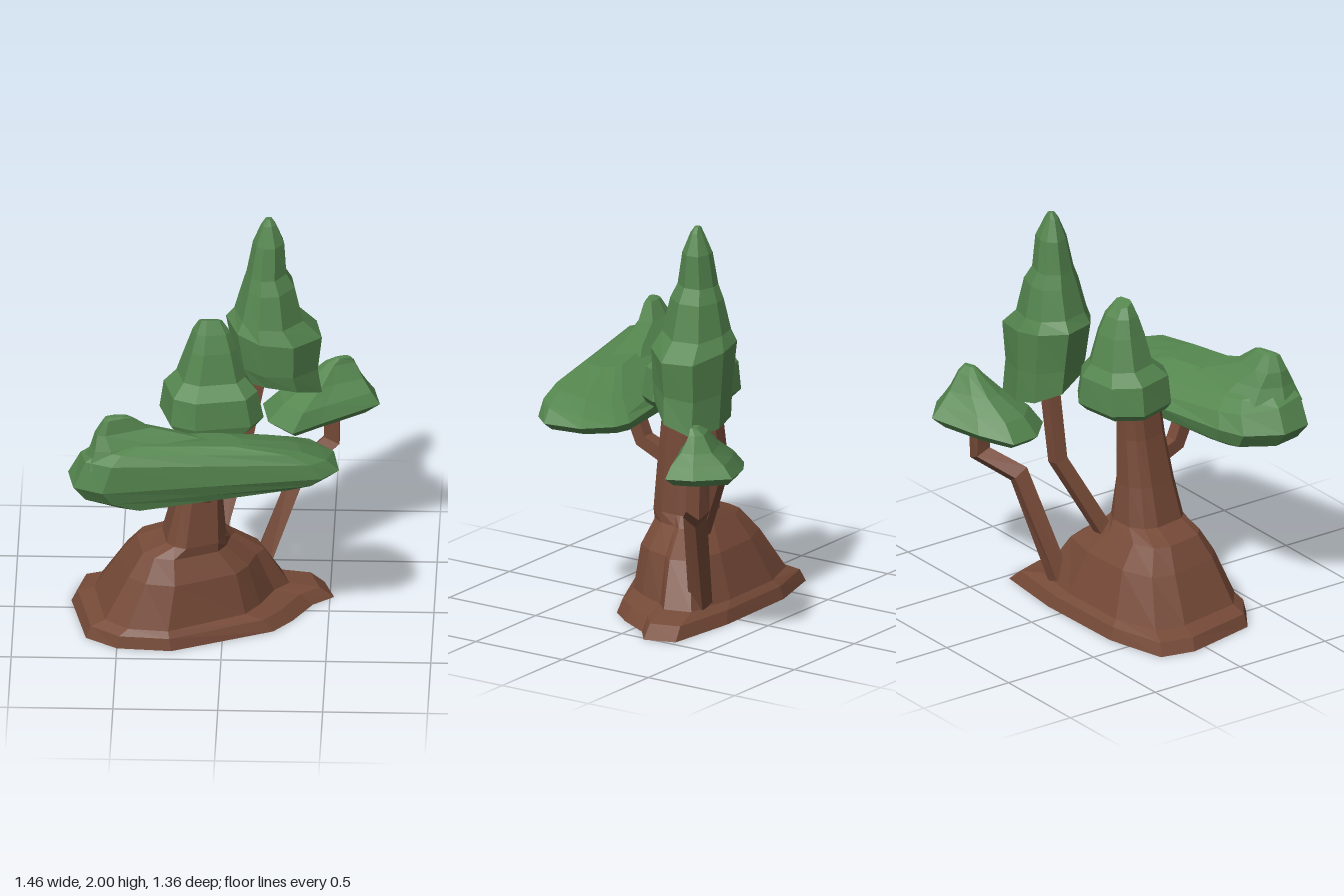
import * as THREE from 'three';

const bark = new THREE.MeshStandardMaterial({ color: 0x764a38, flatShading: true });
bark.name = 'bark brown';
const leaf = new THREE.MeshStandardMaterial({ color: 0x55864f, flatShading: true });
leaf.name = 'leaf green';

// Skin a closed solid over rings of points, capped at both ends
function skin(rings) {
  const pos = [];
  const tri = (a, b, c) => pos.push(...a.toArray(), ...b.toArray(), ...c.toArray());
  const n = rings[0].length;
  for (let i = 0; i < rings.length - 1; i++) {
    for (let j = 0; j < n; j++) {
      const k = (j + 1) % n;
      const [a, b, c, d] = [rings[i][j], rings[i][k], rings[i + 1][k], rings[i + 1][j]];
      tri(a, c, b);
      tri(a, d, c);
    }
  }
  const centre = (r) => r.reduce((s, p) => s.add(p), new THREE.Vector3()).divideScalar(n);
  const low = rings[0], high = rings[rings.length - 1];
  const lowC = centre(low), highC = centre(high);
  for (let j = 0; j < n; j++) {
    const k = (j + 1) % n;
    tri(lowC, low[j], low[k]);
    tri(highC, high[k], high[j]);
  }
  const g = new THREE.BufferGeometry();
  g.setAttribute('position', new THREE.Float32BufferAttribute(pos, 3));
  g.computeVertexNormals();
  return g;
}

// Fit an outline into each level: [y, x0, x1, z0, z1, roundness, slope in x, slope in z]
function layers(outline, levels) {
  const xs = outline.map((p) => p[0]), zs = outline.map((p) => p[1]);
  const fit = (v, list) => {
    const lo = Math.min(...list), hi = Math.max(...list);
    return (2 * v - lo - hi) / (hi - lo);
  };
  const unit = outline.map(([x, z]) => [fit(x, xs), fit(z, zs)]);
  return skin(levels.map(([y, x0, x1, z0, z1, round = 0, sx = 0, sz = 0]) =>
    unit.map(([u, v]) => {
      const k = 1 - round + round / Math.hypot(u, v);
      const dx = u * k * (x1 - x0) / 2, dz = v * k * (z1 - z0) / 2;
      return new THREE.Vector3((x0 + x1) / 2 + dx, y + sx * dx + sz * dz, (z0 + z1) / 2 + dz);
    })));
}

// Square limb with mitred bends along a path
function limb(points, r) {
  const pts = points.map((p) => new THREE.Vector3(...p));
  const side = new THREE.Vector3();
  return skin(pts.map((p, i) => {
    const before = p.clone().sub(pts[Math.max(i - 1, 0)]).normalize();
    const after = pts[Math.min(i + 1, pts.length - 1)].clone().sub(p).normalize();
    const dir = before.add(after).normalize();
    side.set(1, 0, 0).addScaledVector(dir, -dir.x).normalize();
    const other = new THREE.Vector3().crossVectors(side, dir);
    return [0, 1, 2, 3].map((j) => {
      const a = Math.PI / 4 + j * Math.PI / 2;
      return p.clone().addScaledVector(side, Math.cos(a) * r * 1.35)
        .addScaledVector(other, Math.sin(a) * r * 1.35);
    });
  }));
}

export function createModel() {
  const group = new THREE.Group();
  const add = (name, geometry, material) => {
    const m = new THREE.Mesh(geometry, material);
    m.name = name;
    group.add(m);
  };

  // Spreading root mound rising into the main trunk
  const foot = [[0.52, -0.14], [0.42, -0.06], [0.33, 0.1], [0.24, 0.21], [-0.24, 0.42], [-0.5, 0.4],
    [-0.65, 0.3], [-0.73, -0.07], [-0.69, -0.24], [-0.39, -0.32], [0.1, -0.33], [0.47, -0.29]];
  add('rootsAndTrunk', layers(foot, [
    [0, -0.73, 0.52, -0.33, 0.42],
    [0.06, -0.7, 0.45, -0.31, 0.41],
    [0.09, -0.62, 0.31, -0.28, 0.39, 0.05],
    [0.3, -0.5, 0.2, -0.2, 0.33, 0.25],
    [0.41, -0.42, 0.06, -0.12, 0.27, 0.4],
    [0.46, -0.3, 0.02, -0.09, 0.25, 0.8],
    [0.65, -0.25, 0, -0.07, 0.22, 1],
    [0.88, -0.2, -0.01, -0.06, 0.19, 1],
    [1.06, -0.18, -0.02, -0.06, 0.17, 1],
  ]), bark);

  // Bent side branches
  add('leftBranch', limb([[0.16, 0.1, -0.22], [0.35, 0.6, -0.32], [0.5, 0.69, -0.44], [0.5, 0.9, -0.44]], 0.042), bark);
  add('backBranch', limb([[-0.03, 0.36, -0.08], [0.09, 0.76, -0.28], [0.16, 1.14, -0.28]], 0.036), bark);
  add('frontBranch', limb([[-0.09, 0.71, 0.14], [-0.09, 0.77, 0.28], [-0.09, 0.93, 0.35]], 0.036), bark);

  // Tall pointed crown
  const tall = [[0.46, -0.2], [0.33, -0.05], [0.17, -0.03], [0.06, -0.11], [0, -0.28],
    [0.1, -0.39], [0.24, -0.41], [0.43, -0.36]];
  add('tallCrown', layers(tall, [
    [1.1, 0.05, 0.46, -0.4, -0.06, 0, -0.17, 0.38],
    [1.22, 0.04, 0.44, -0.4, -0.04, 0, -0.1, 0.1],
    [1.41, 0, 0.46, -0.41, -0.03, 0, -0.15],
    [1.48, 0.04, 0.37, -0.38, -0.06, 0, -0.1],
    [1.64, 0.08, 0.33, -0.35, -0.1],
    [1.71, 0.1, 0.29, -0.32, -0.13],
    [1.87, 0.13, 0.28, -0.3, -0.16],
    [1.97, 0.17, 0.24, -0.26, -0.2],
    [2, 0.19, 0.22, -0.25, -0.22],
  ]), leaf);

  // Middle crown on the trunk
  const middle = [[0.19, 0.04], [0.13, 0.14], [-0.14, 0.19], [-0.26, 0.14], [-0.32, -0.06],
    [-0.23, -0.19], [0, -0.22], [0.12, -0.14]];
  add('middleCrown', layers(middle, [
    [1.03, -0.27, 0.15, -0.18, 0.18],
    [1.07, -0.31, 0.19, -0.22, 0.19],
    [1.21, -0.29, 0.16, -0.21, 0.18],
    [1.27, -0.23, 0.1, -0.17, 0.11],
    [1.42, -0.18, 0.06, -0.13, 0.08],
    [1.51, -0.15, 0.03, -0.09, 0.05],
    [1.565, -0.12, -0.01, -0.05, 0.02, 0, 0, 0.4],
  ]), leaf);

  // Small low crown
  const small = [[0.73, -0.41], [0.45, -0.27], [0.32, -0.2], [0.2, -0.32], [0.17, -0.48],
    [0.32, -0.58], [0.56, -0.68], [0.7, -0.55]];
  add('smallCrown', layers(small, [
    [0.84, 0.21, 0.66, -0.63, -0.24, 0, 0.08, -0.08],
    [0.88, 0.17, 0.73, -0.68, -0.2, 0, 0.09, -0.08],
    [0.95, 0.25, 0.69, -0.63, -0.25, 0, 0.06, -0.05],
    [1.02, 0.38, 0.65, -0.57, -0.35],
    [1.1, 0.47, 0.61, -0.52, -0.42],
    [1.13, 0.52, 0.59, -0.48, -0.44],
  ]), leaf);

  // Long flat crown in front
  const long = [[0.56, 0.41], [0.48, 0.5], [-0.05, 0.59], [-0.56, 0.68], [-0.7, 0.62], [-0.73, 0.46],
    [-0.63, 0.29], [-0.5, 0.24], [-0.1, 0.16], [0.32, 0.08], [0.41, 0.1], [0.53, 0.22]];
  add('longCrown', layers(long, [
    [0.89, -0.5, 0.38, 0.2, 0.61, 0, 0.08],
    [0.93, -0.67, 0.5, 0.11, 0.65, 0, 0.03],
    [0.99, -0.73, 0.56, 0.08, 0.68],
    [1.07, -0.67, 0.5, 0.12, 0.67, 0, -0.04, 0.15],
    [1.12, -0.6, 0.38, 0.21, 0.63, 0, -0.04, 0.18],
    [1.17, -0.45, 0.1, 0.35, 0.57, 0, -0.05, 0.1],
  ]), leaf);

  // Hump on the long crown, its ridge trailing to the left
  const hump = [[0.05, 0.43], [-0.2, 0.52], [-0.5, 0.62], [-0.6, 0.62], [-0.63, 0.52], [-0.57, 0.4],
    [-0.4, 0.35], [-0.1, 0.34]];
  add('longCrownHump', layers(hump, [
    [1.09, -0.66, 0.1, 0.3, 0.64],
    [1.18, -0.62, -0.1, 0.38, 0.61],
    [1.25, -0.6, -0.33, 0.44, 0.58],
    [1.32, -0.56, -0.42, 0.49, 0.56],
    [1.33, -0.53, -0.45, 0.51, 0.54],
  ]), leaf);

  return group;
}
